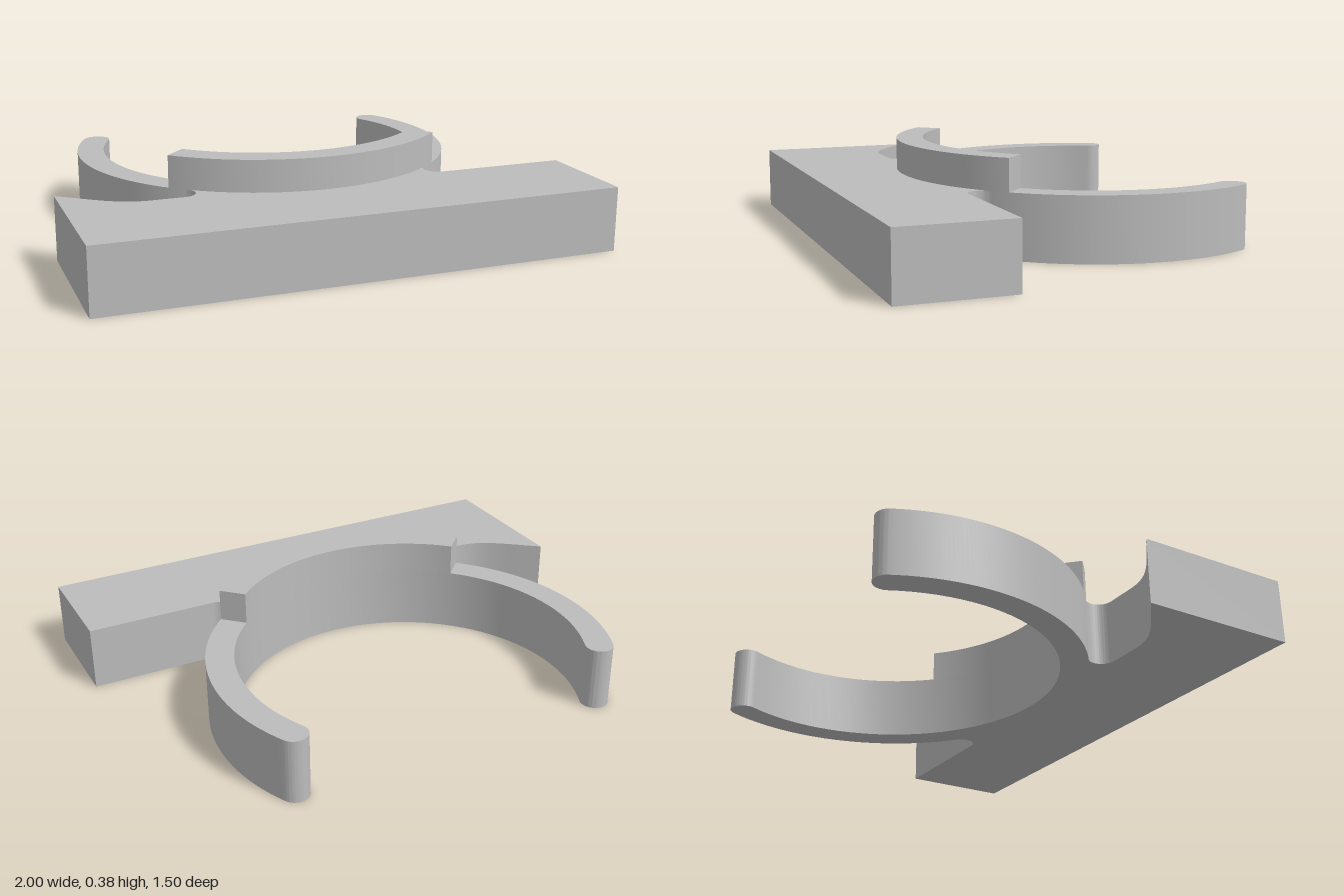
import * as THREE from 'three';
import { toCreasedNormals } from 'three/addons/utils/BufferGeometryUtils.js';

const rad = THREE.MathUtils.degToRad;
const CX = -0.033, CZ = -0.381;      // ring centre
const RO = 0.772, RI = 0.664;        // ring radii
const RM = (RO + RI) / 2, CAP = (RO - RI) / 2;
const HEIGHT = 0.25, LIP_TOP = 0.375;
const TIP = 26.5;                    // arms reach this far past the ring's widest line
const ROOT = 51.3;                   // where the ring meets the relief notches
const EDGE = 0.31, FRONT = 0.745;    // back and front edges of the base bar

// Extrude a plan outline (x, z) upward between two heights
function extrudePlan(shape, y0, y1) {
  const geo = new THREE.ExtrudeGeometry(shape, { depth: y1 - y0, bevelEnabled: false, curveSegments: 32 });
  geo.rotateX(Math.PI / 2);
  geo.translate(0, y1, 0);
  return toCreasedNormals(geo, rad(30));
}

export function createModel() {
  const group = new THREE.Group();
  const grey = new THREE.MeshStandardMaterial({ color: 0xbcbcbc });
  grey.name = 'grey';

  const add = (name, geo) => {
    const mesh = new THREE.Mesh(geo, grey);
    mesh.name = name;
    group.add(mesh);
  };

  // Base bar and open clip ring in one outline
  const body = new THREE.Shape();
  const arc = (x, z, r, from, to, clockwise = false) =>
    body.absarc(x, z, r, rad(from), rad(to), clockwise);
  const notchX = 0.521, notchZ = 0.257, notchR = 0.053;

  body.moveTo(-1, FRONT);
  body.lineTo(-1, 0.13);
  body.bezierCurveTo(-0.87, 0.23, -0.8, EDGE, -0.68, EDGE);   // swept corner
  arc(CX - notchX, notchZ, notchR, 90, -42.6, true);          // left notch
  arc(CX, CZ, RO, 180 - ROOT, 180 + TIP);                     // left arm, outside
  const capX = RM * Math.cos(rad(TIP)), capZ = CZ - RM * Math.sin(rad(TIP));
  arc(CX - capX, capZ, CAP, 180 + TIP, 360 + TIP);            // left rounded tip
  arc(CX, CZ, RI, 180 + TIP, -TIP, true);                     // inside of the ring
  arc(CX + capX, capZ, CAP, 180 - TIP, 360 - TIP);            // right rounded tip
  arc(CX, CZ, RO, -TIP, ROOT);                                // right arm, outside
  arc(CX + notchX, notchZ, notchR, 222.6, 90, true);          // right notch
  body.lineTo(1, EDGE);
  body.lineTo(1, FRONT);
  body.closePath();
  add('baseAndClip', extrudePlan(body, 0, HEIGHT));

  // Raised quarter-ring lip
  const lip = new THREE.Shape();
  lip.absarc(CX, CZ, RO, rad(45), rad(135), false);
  lip.absarc(CX, CZ, RI, rad(135), rad(45), true);
  lip.closePath();
  add('raisedLip', extrudePlan(lip, HEIGHT, LIP_TOP));

  return group;
}
